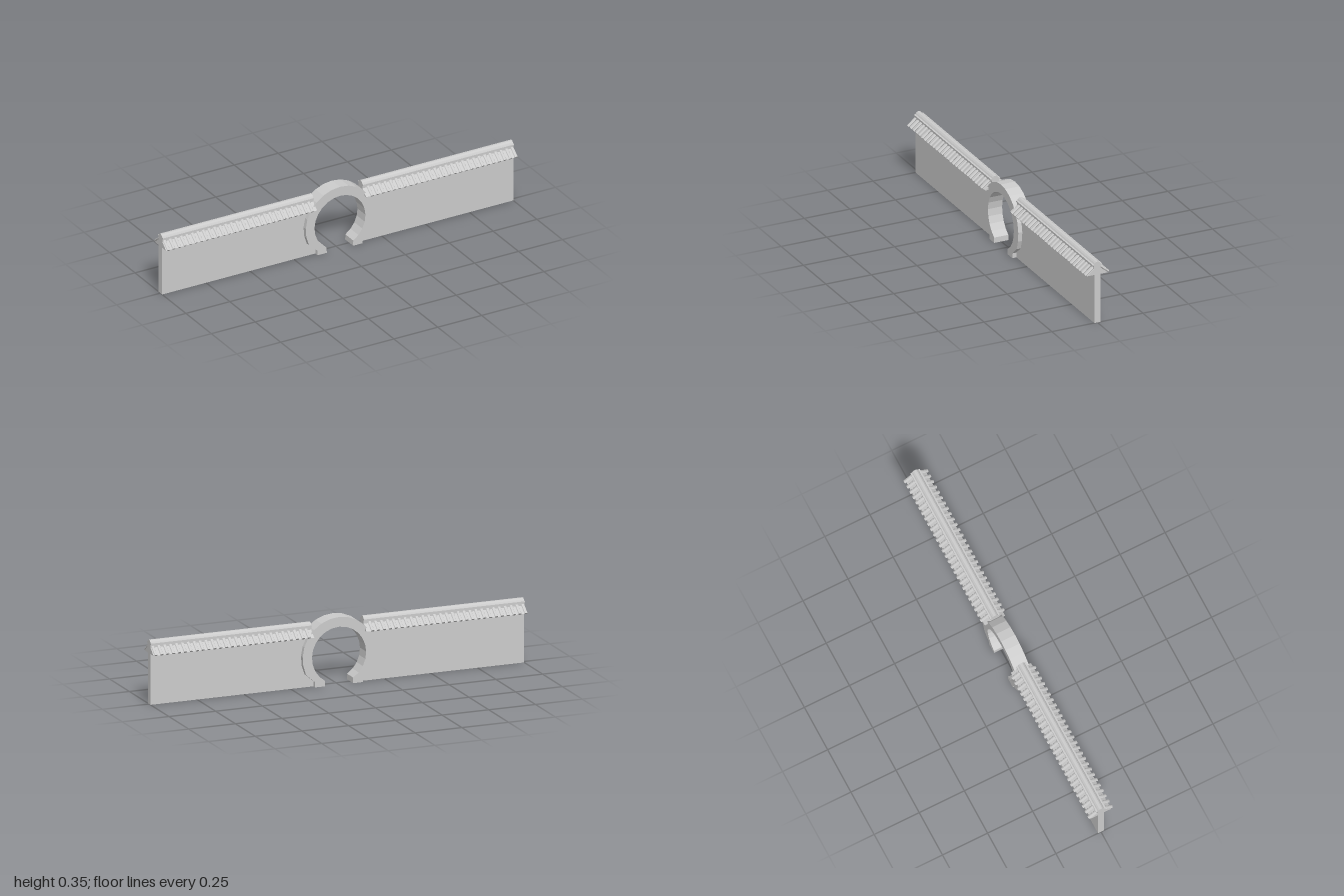
import * as THREE from 'three';

const material = new THREE.MeshStandardMaterial({ color: 0xcccccc, flatShading: true });

const shapeOf = (points) => new THREE.Shape(points.map(([x, y]) => new THREE.Vector2(x, y)));

// Extrude an outline, centred on z = 0
function slab(points, depth) {
  const geometry = new THREE.ExtrudeGeometry(shapeOf(points), { depth, bevelEnabled: false });
  return geometry.translate(0, 0, -depth / 2);
}

function addMesh(parent, name, geometry) {
  const mesh = new THREE.Mesh(geometry, material);
  mesh.name = name;
  parent.add(mesh);
  return mesh;
}

// Points of a circular arc, angles in degrees
function arc(radius, cy, from, to, segments) {
  const points = [];
  for (let i = 0; i <= segments; i++) {
    const a = THREE.MathUtils.degToRad(from + ((to - from) * i) / segments);
    points.push([radius * Math.cos(a), cy + radius * Math.sin(a)]);
  }
  return points;
}

// Close a right-hand half profile with its mirror image
const mirrored = (half) => [
  ...half,
  ...half.filter(([x]) => x > 0).reverse().map(([x, y]) => [-x, y]),
];

export function createModel() {
  const model = new THREE.Group();
  model.name = 'gardenWall';
  const gateY = 0.152, roofStart = 0.14;

  // Round gate frame, open at the bottom with two straight feet
  addMesh(model, 'gateFrame', slab([
    [0.075, 0], [0.128, 0], [0.128, 0.026],
    ...arc(0.195, gateY, -25.5, 205.5, 16),
    [-0.128, 0.026], [-0.128, 0], [-0.075, 0],
    ...arc(0.145, gateY, 238.5, -58.5, 20),
  ], 0.078));

  // Cross-section of the eaves and ridge, across the wall
  const roofProfile = mirrored([
    [0.017, 0.26], [0.056, 0.26], [0.018, 0.292], [0.018, 0.308], [0.026, 0.309],
    [0.026, 0.315], [0.018, 0.316], [0.014, 0.322], [0.007, 0.328], [0, 0.329],
  ]);

  // Slanted tile, its top at the ridge and its lower end over the eave
  const top = new THREE.Vector2(0.020, 0.2985), low = new THREE.Vector2(0.0635, 0.2635);
  const run = low.clone().sub(top);
  const tileGeometry = new THREE.CylinderGeometry(0.006, 0.006, run.length(), 8);
  tileGeometry.scale(1.5, 1, 1);
  tileGeometry.rotateX(-Math.atan2(run.x, -run.y));
  tileGeometry.translate(0, (top.y + low.y) / 2, (top.x + low.x) / 2);

  for (const side of [1, -1]) {
    const wing = new THREE.Group();
    wing.name = side > 0 ? 'leftWall' : 'rightWall';
    model.add(wing);

    // Wall panel, its inner end hidden in the gate frame
    const outline = [
      [0.1, 0], [1, 0], [1, 0.27], [roofStart, 0.27], [0.165, 0.2],
      [0.17, gateY], [0.16, 0.09], [0.12, 0.03],
    ].map(([x, y]) => [side * x, y]);
    addMesh(wing, 'wallPanel', slab(outline, 0.034));

    // Roof body with ridge
    const length = 1 - roofStart;
    const roof = slab(roofProfile, length).rotateY(Math.PI / 2);
    addMesh(wing, 'roofRidge', roof.translate(side * (roofStart + length / 2), 0, 0));

    // Rows of tiles on both slopes
    const count = 27;
    for (const face of [1, -1]) {
      const row = new THREE.Group();
      row.name = face > 0 ? 'frontTiles' : 'backTiles';
      row.rotation.y = face > 0 ? 0 : Math.PI;
      wing.add(row);
      for (let i = 0; i < count; i++) {
        const x = 0.17 + (0.82 * i) / (count - 1);
        addMesh(row, 'roofTile', tileGeometry).position.x = side * face * x;
      }
    }
  }
  return model;
}
